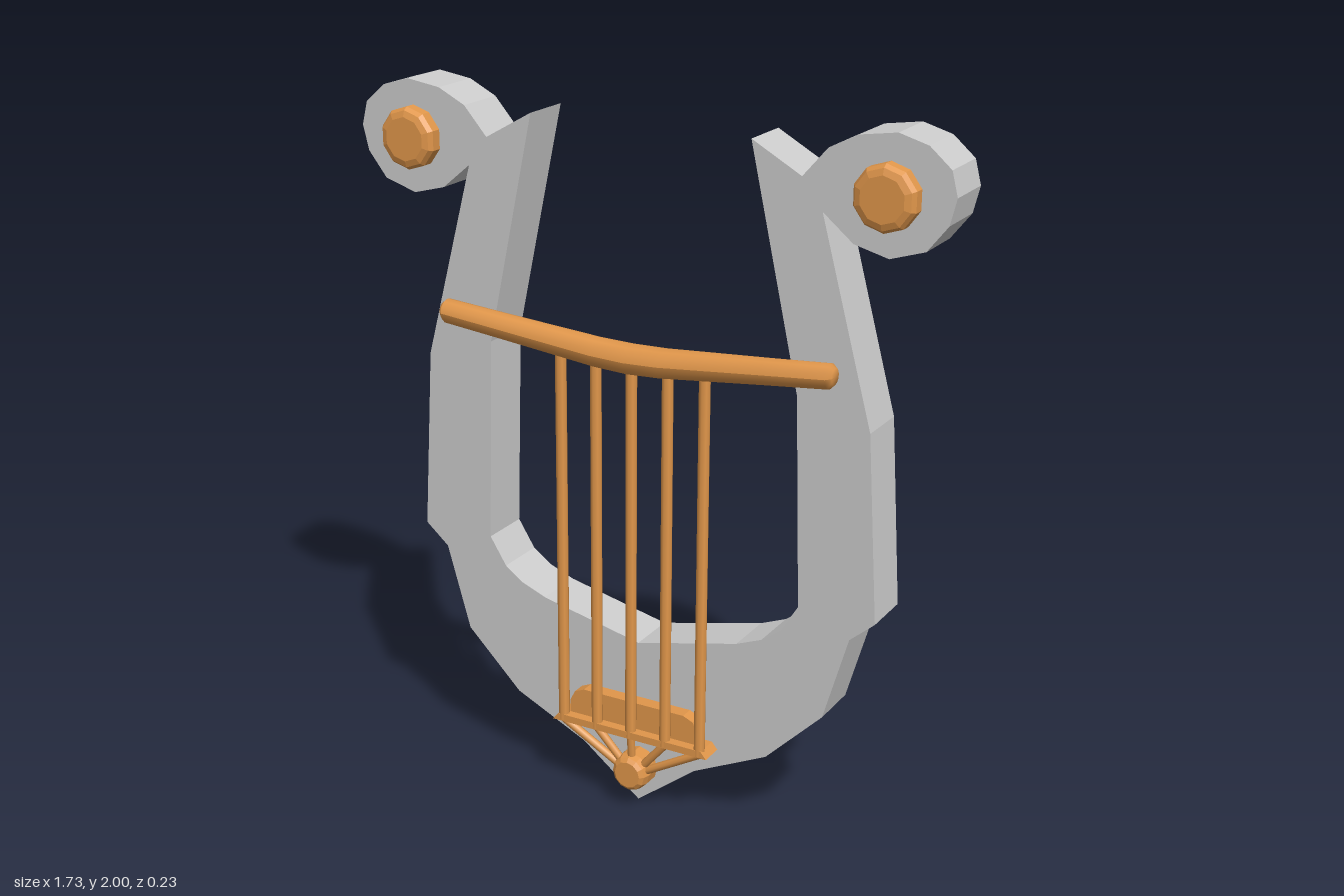
import * as THREE from 'three';

const grey = new THREE.MeshStandardMaterial({ color: 0xcccccc, flatShading: true });
const wood = new THREE.MeshStandardMaterial({ color: 0xe0964a });
const woodFlat = new THREE.MeshStandardMaterial({ color: 0xe0964a, flatShading: true });

const V = (x, y, z) => new THREE.Vector3(x, y, z);

function add(parent, name, geometry, material) {
  const mesh = new THREE.Mesh(geometry, material);
  mesh.name = name;
  parent.add(mesh);
  return mesh;
}

// Flat plate cut from an outline, between two depths
function plate(points, back, front) {
  const shape = new THREE.Shape(points.map(([x, y]) => new THREE.Vector2(x, y)));
  const geo = new THREE.ExtrudeGeometry(shape, { depth: front - back, bevelEnabled: false });
  return geo.translate(0, 0, back);
}

// Round rod between two points
function rod(a, b, r) {
  const dir = b.clone().sub(a);
  const geo = new THREE.CylinderGeometry(r, r, dir.length(), 8);
  geo.applyQuaternion(new THREE.Quaternion().setFromUnitVectors(V(0, 1, 0), dir.normalize()));
  const mid = a.clone().add(b).multiplyScalar(0.5);
  return geo.translate(mid.x, mid.y, mid.z);
}

// Button with a chamfered front rim, facing +z
function button(r, depth, sides) {
  const profile = [[0, 0], [r, 0], [r, depth * 0.62], [r * 0.9, depth * 0.88], [r * 0.7, depth], [0, depth]];
  const geo = new THREE.LatheGeometry(profile.map(p => new THREE.Vector2(...p)), sides);
  return geo.rotateX(Math.PI / 2);
}

export function createModel() {
  const lyre = new THREE.Group();
  lyre.name = 'lyre';

  // Frame: half outline from the bottom tip round the scroll to the inner bowl
  const half = [
    [0, 0], [0.18, 0.14], [0.4, 0.245], [0.565, 0.41], [0.635, 0.655], [0.705, 0.715],
    [0.67, 1.235], [0.52, 1.785], [0.605, 1.715], [0.7, 1.69], [0.795, 1.72], [0.85, 1.79],
    [0.867, 1.86], [0.85, 1.925], [0.79, 1.977], [0.71, 2], [0.61, 1.985], [0.53, 1.945],
    [0.462, 1.867], [0.322, 1.945], [0.465, 1.3], [0.485, 0.715], [0.435, 0.635],
    [0.38, 0.595], [0.305, 0.565], [0, 0.495],
  ];
  const mirrored = half.slice(1, -1).reverse().map(([x, y]) => [-x, y]);
  add(lyre, 'frame', plate([...half, ...mirrored], -0.12, 0.03), grey);

  // Scroll buttons and the peg that gathers the strings
  for (const side of [-1, 1]) {
    const name = side > 0 ? 'leftScrollButton' : 'rightScrollButton';
    add(lyre, name, button(0.086, 0.05, 10), woodFlat).position.set(side * 0.695, 1.845, 0.029);
  }
  add(lyre, 'stringPeg', button(0.056, 0.076, 12), woodFlat).position.set(0.005, 0.115, 0.029);

  // Crossbar: tapered round bar, bent so that its ends rise
  const barProfile = [
    [0, -0.588], [0.022, -0.588], [0.034, -0.575], [0.036, -0.4], [0.041, -0.1], [0.042, 0],
    [0.041, 0.1], [0.036, 0.4], [0.034, 0.575], [0.022, 0.588], [0, 0.588],
  ];
  const bar = new THREE.LatheGeometry(barProfile.map(p => new THREE.Vector2(...p)), 12);
  bar.rotateZ(-Math.PI / 2);
  const pos = bar.attributes.position;
  for (let i = 0; i < pos.count; i++) {
    const rise = Math.max(0, Math.abs(pos.getX(i)) - 0.06) * 0.09;
    pos.setY(i, pos.getY(i) + 1.337 + rise);
  }
  bar.translate(0, 0, 0.073);
  bar.computeVertexNormals();
  add(lyre, 'crossbar', bar, wood);

  // Bridge with a wider foot
  const bridge = [
    [-0.2, 0.23], [0.21, 0.23], [0.21, 0.285], [0.195, 0.315], [0.165, 0.328],
    [-0.155, 0.328], [-0.185, 0.315], [-0.2, 0.285],
  ];
  add(lyre, 'bridge', plate(bridge, 0.029, 0.07), woodFlat);
  const foot = [[-0.242, 0.227], [0.252, 0.227], [0.235, 0.248], [-0.225, 0.248]];
  add(lyre, 'bridgeFoot', plate(foot, 0.029, 0.098), woodFlat);

  // Strings: straight run, then a thinner run converging on the peg
  const strings = new THREE.Group();
  strings.name = 'strings';
  lyre.add(strings);
  for (let i = -2; i <= 2; i++) {
    const x = 0.006 + i * 0.109;
    const bend = V(x, 0.23, 0.084);
    add(strings, 'string', rod(V(x, 1.335, 0.075), bend, 0.016), wood);
    add(strings, 'stringTail', rod(bend, V(0.005 + i * 0.008, 0.11, 0.072), 0.012), wood);
  }

  return lyre;
}
